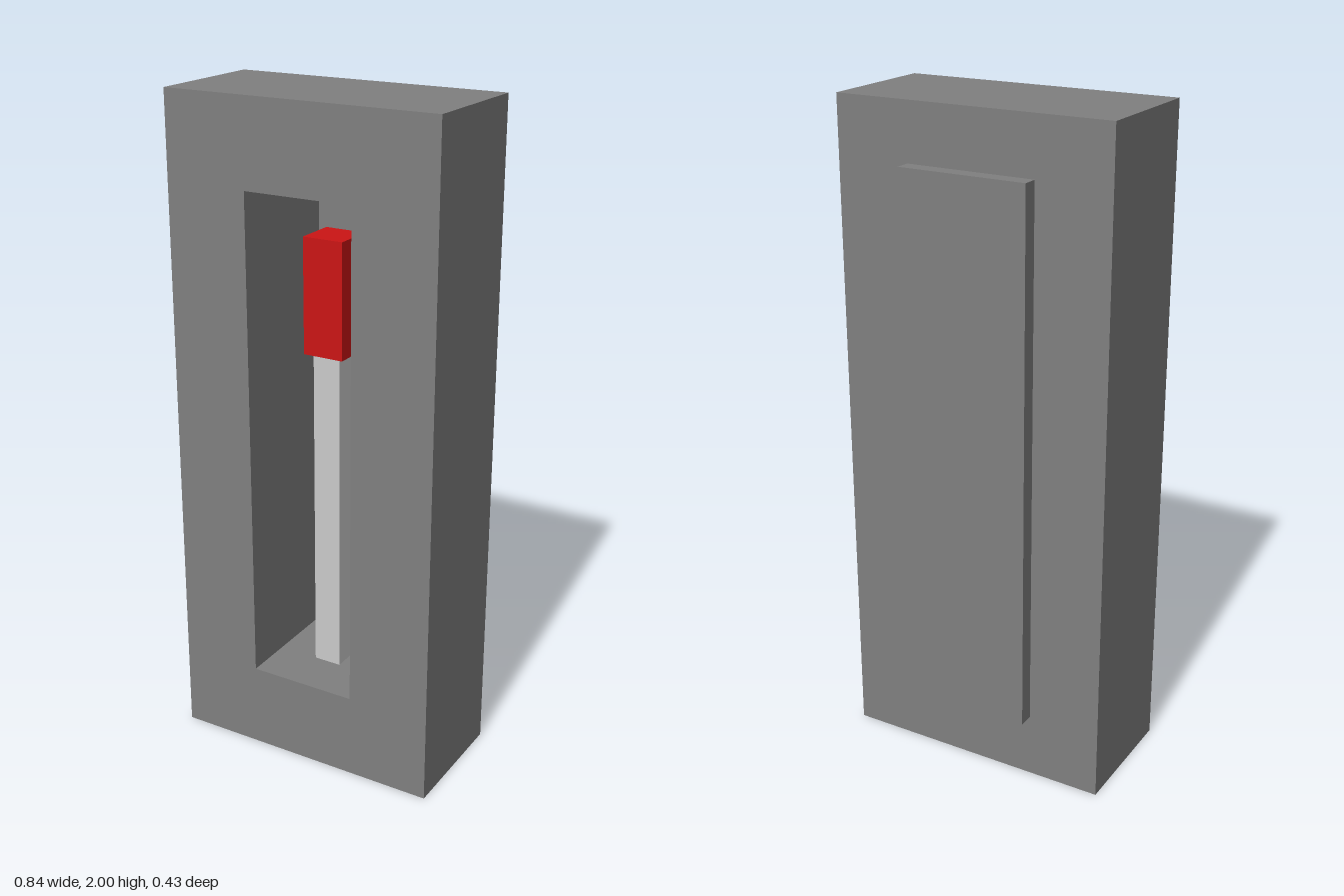
import * as THREE from 'three';

const material = (color) => new THREE.MeshStandardMaterial({ color, flatShading: true });

// Box given by its lower and upper corners
function box(name, [x0, y0, z0], [x1, y1, z1], mat) {
  const mesh = new THREE.Mesh(new THREE.BoxGeometry(x1 - x0, y1 - y0, z1 - z0), mat);
  mesh.position.set((x0 + x1) / 2, (y0 + y1) / 2, (z0 + z1) / 2);
  mesh.name = name;
  return mesh;
}

// Corners of a rectangle symmetric about x = 0
const rectangle = (halfWidth, bottom, top) => [
  new THREE.Vector2(-halfWidth, bottom),
  new THREE.Vector2(halfWidth, bottom),
  new THREE.Vector2(halfWidth, top),
  new THREE.Vector2(-halfWidth, top),
];

export function createModel() {
  const model = new THREE.Group();
  const casing = material(0x808080);
  const back = -0.17, front = 0.217;

  // Thick frame with a tall slot cut right through it
  const outline = new THREE.Shape(rectangle(0.421, 0, 2));
  outline.holes.push(new THREE.Path(rectangle(0.167, 0.26, 1.745).reverse()));
  const frame = new THREE.Mesh(
    new THREE.ExtrudeGeometry(outline, { depth: front - back, bevelEnabled: false }),
    casing
  );
  frame.position.z = back;
  frame.name = 'frame';
  model.add(frame);

  // Plate closing the slot from behind
  model.add(box('backPlate', [-0.195, 0.2, -0.217], [0.195, 1.83, back], casing));

  // Square stick standing in the slot, with a wider red head
  const mid = (front + back) / 2;
  const bar = (name, half, bottom, top, mat) =>
    box(name, [-half, bottom, mid - half], [half, top, mid + half], mat);
  model.add(bar('stick', 0.043, 0.26, 1.262, material(0xcccccc)));
  model.add(bar('head', 0.063, 1.262, 1.605, material(0xcc1515)));

  return model;
}
